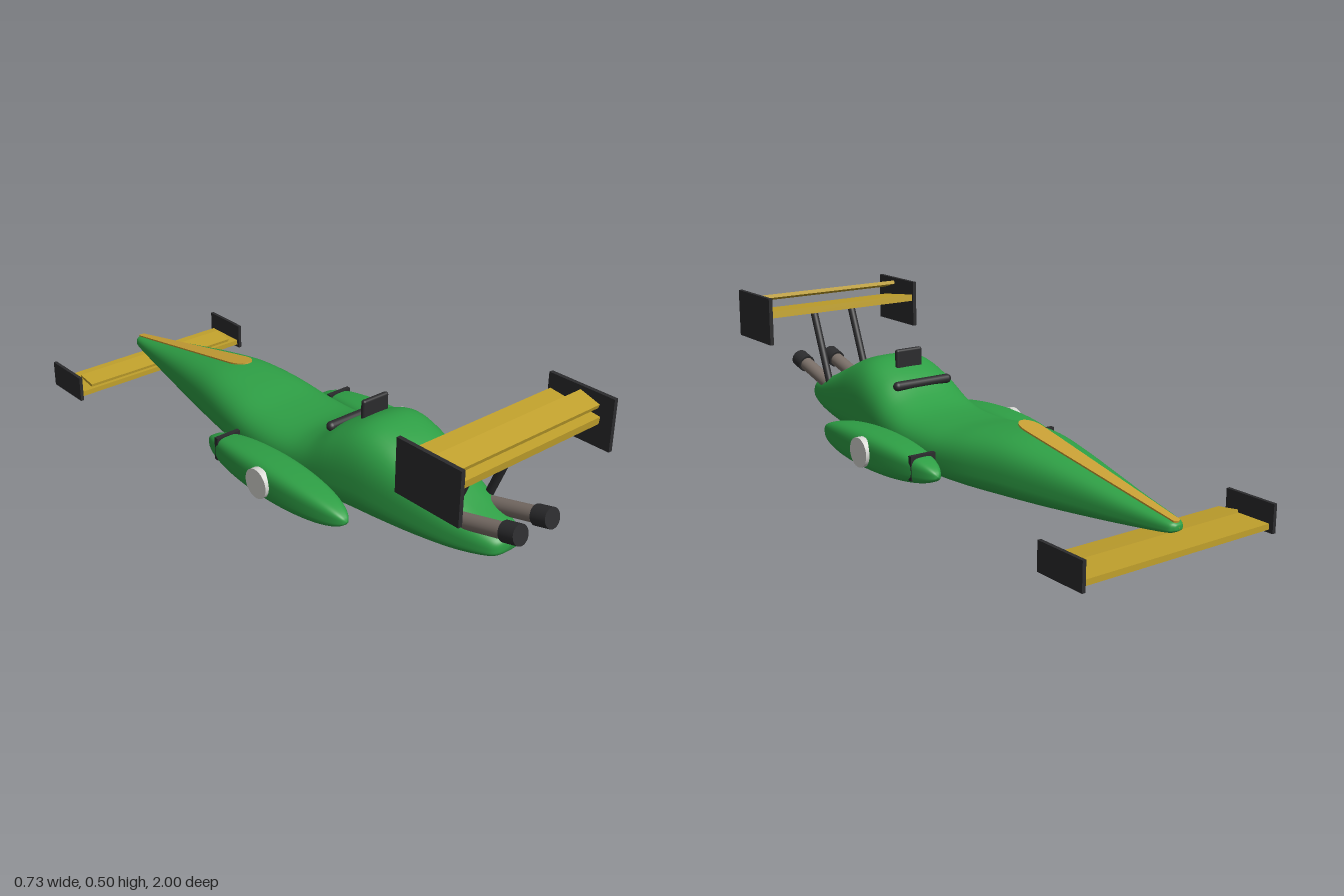
import * as THREE from 'three';
import { RoundedBoxGeometry } from 'three/addons/geometries/RoundedBoxGeometry.js';

const mat = (name, color, side = THREE.FrontSide) => {
  const m = new THREE.MeshStandardMaterial({ color, side });
  m.name = name;
  return m;
};

// Smooth skin through rings given as [z, halfWidth, bottom, top]; n sets how boxy the ring is
function loft(stations, n, midRatio, steps, sides = 56) {
  const curve = (i, j) => new THREE.CatmullRomCurve3(
    stations.map(s => new THREE.Vector3(s[i], s[j], 0)), false, 'catmullrom', 0.5);
  const plan = curve(0, 1), heights = curve(2, 3);
  const pos = [], idx = [];
  const pw = v => Math.sign(v) * Math.pow(Math.abs(v), 2 / n);
  for (let i = 0; i <= steps; i++) {
    const { x: z, y: hw } = plan.getPoint(i / steps);
    const { x: bottom, y: top } = heights.getPoint(i / steps);
    const mid = bottom + (top - bottom) * midRatio;
    for (let j = 0; j < sides; j++) {
      const a = (j / sides) * Math.PI * 2, s = Math.sin(a);
      pos.push(hw * pw(Math.cos(a)), mid + (s > 0 ? top - mid : mid - bottom) * pw(s), z);
    }
  }
  for (let i = 0; i < steps; i++) {
    for (let j = 0; j < sides; j++) {
      const k = (j + 1) % sides, a = i * sides, b = a + sides;
      idx.push(a + j, a + k, b + j, a + k, b + k, b + j);
    }
  }
  const g = new THREE.BufferGeometry();
  g.setAttribute('position', new THREE.Float32BufferAttribute(pos, 3));
  g.setIndex(idx);
  g.computeVertexNormals();
  return g;
}

export function createModel() {
  const green = mat('body green', 0x2e9f45);
  const gold = mat('wing gold', 0xc0a02c);
  const amber = mat('stripe amber', 0xc89f35);
  const dark = mat('charcoal', 0x2b2b2d);
  const pale = mat('pale grey', 0xd6d6d2);
  const metal = mat('exhaust metal', 0x7a6f68);

  const model = new THREE.Group();
  model.name = 'racingCar';

  const add = (name, geo, material, x = 0, y = 0, z = 0, rx = 0, parent = model) => {
    const m = new THREE.Mesh(geo, material);
    m.name = name;
    m.position.set(x, y, z);
    m.rotation.x = rx;
    parent.add(m);
    return m;
  };
  const rod = (name, from, to, r, material) => {
    const a = new THREE.Vector3(...from), b = new THREE.Vector3(...to);
    const m = add(name, new THREE.CylinderGeometry(r, r, a.distanceTo(b), 24), material);
    m.position.copy(a).add(b).multiplyScalar(0.5);
    m.quaternion.setFromUnitVectors(new THREE.Vector3(0, 1, 0), b.sub(a).normalize());
    return m;
  };

  // Main hull, from nose to tail
  add('hull', loft([
    [-0.975, 0.001, 0.088, 0.09],
    [-0.97, 0.018, 0.078, 0.101],
    [-0.94, 0.034, 0.07, 0.11],
    [-0.8, 0.061, 0.053, 0.134],
    [-0.65, 0.09, 0.038, 0.163],
    [-0.5, 0.12, 0.026, 0.19],
    [-0.35, 0.149, 0.018, 0.208],
    [-0.2, 0.172, 0.012, 0.2],
    [-0.05, 0.182, 0.01, 0.181],
    [0.1, 0.183, 0.01, 0.183],
    [0.2, 0.181, 0.01, 0.215],
    [0.3, 0.178, 0.013, 0.277],
    [0.4, 0.17, 0.017, 0.314],
    [0.5, 0.158, 0.022, 0.297],
    [0.63, 0.135, 0.031, 0.24],
    [0.76, 0.106, 0.045, 0.183],
    [0.86, 0.077, 0.065, 0.149],
    [0.9, 0.05, 0.08, 0.129],
    [0.91, 0.001, 0.104, 0.106],
  ], 2.9, 0.34, 108), green);

  // Nose stripe: a tapered thin plate sloping down to the tip
  const stripe = new THREE.Shape();
  const len = 0.7;
  stripe.moveTo(-0.012, 0);
  stripe.lineTo(-0.036, len - 0.08);
  stripe.bezierCurveTo(-0.038, len + 0.005, 0.038, len + 0.005, 0.036, len - 0.08);
  stripe.lineTo(0.012, 0);
  stripe.quadraticCurveTo(0, -0.012, -0.012, 0);
  add('noseStripe', new THREE.ExtrudeGeometry(stripe, { depth: 0.005, bevelEnabled: false, curveSegments: 16 }),
    amber, 0, 0.109, -0.965, Math.PI / 2 - 0.188);

  // Air scoop and cockpit bar
  add('airScoop', new RoundedBoxGeometry(0.104, 0.11, 0.018, 4, 0.008), dark, 0, 0.297, 0.335);
  const bar = add('cockpitBar', new THREE.CapsuleGeometry(0.016, 0.2, 8, 20), dark, 0, 0.247, 0.25);
  bar.rotation.z = Math.PI / 2;

  // Side pods shaped as long rounded lozenges
  const podRings = [];
  for (let i = 0; i <= 16; i++) {
    const a = (i / 16 - 0.5) * Math.PI, f = Math.max(Math.cos(a), 0.01);
    podRings.push([0.147 + 0.337 * Math.sin(a), 0.068 * f, 0.07 - 0.057 * f, 0.07 + 0.07 * f]);
  }
  const podGeo = loft(podRings, 3.3, 0.48, 48, 48);

  for (const s of [1, -1]) {
    const side = s > 0 ? 'left' : 'right';
    add(side + 'Pod', podGeo, green, s * 0.242, 0, 0);
    add(side + 'PodIntake', new THREE.BoxGeometry(0.092, 0.08, 0.016), dark, s * 0.241, 0.083, -0.1);
    const disc = add(side + 'Roundel', new THREE.CylinderGeometry(0.05, 0.05, 0.022, 36), pale, s * 0.311, 0.08, 0.15);
    disc.rotation.z = Math.PI / 2;

    // Rear wing strut and exhaust
    rod(side + 'Strut', [s * 0.08, 0.16, 0.742], [s * 0.08, 0.418, 0.848], 0.0135, dark);
    rod(side + 'Exhaust', [s * 0.066, 0.14, 0.74], [s * 0.066, 0.195, 0.95], 0.025, metal);
    rod(side + 'ExhaustTip', [s * 0.066, 0.192, 0.937], [s * 0.066, 0.206, 0.991], 0.032, dark);

    // End plates
    add(side + 'RearEndPlate', new THREE.BoxGeometry(0.014, 0.168, 0.235), dark, s * 0.306, 0.411, 0.868);
    add(side + 'FrontEndPlate', new THREE.BoxGeometry(0.012, 0.09, 0.18), dark, s * 0.359, 0.045, -0.91);
  }

  // Rear wing
  add('rearWing', new THREE.BoxGeometry(0.598, 0.024, 0.185), gold, 0, 0.4235, 0.85, 0.12);
  add('rearFlap', new THREE.BoxGeometry(0.584, 0.013, 0.074), gold, 0, 0.47, 0.905, 0.29);

  // Front wing
  add('frontWing', new THREE.BoxGeometry(0.706, 0.018, 0.155), gold, 0, 0.019, -0.908);
  add('frontFlap', new THREE.BoxGeometry(0.62, 0.01, 0.075), gold, 0, 0.046, -0.868, 0.15);

  return model;
}
